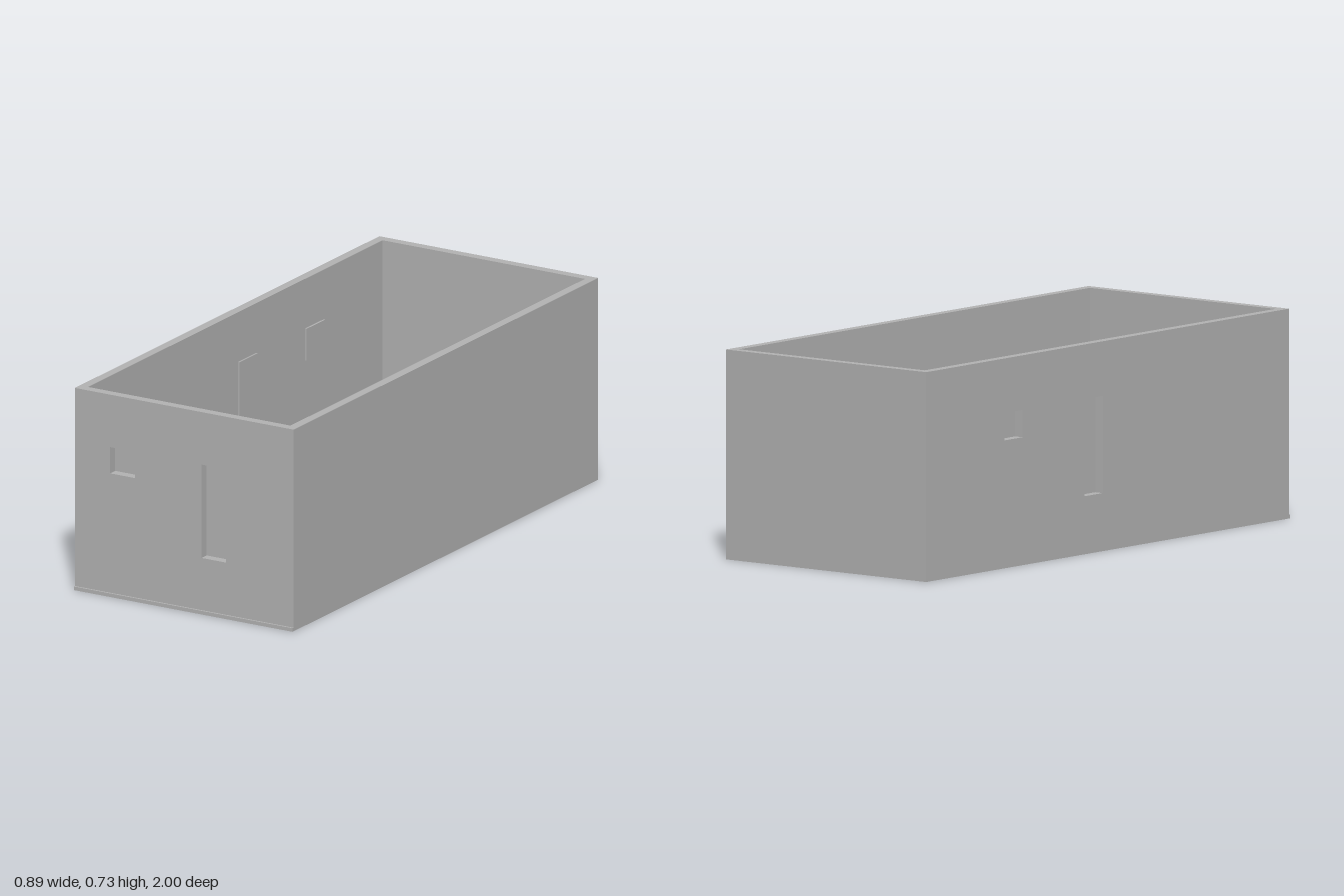
import * as THREE from 'three';

const H = 0.73;        // wall height
const T = 0.033;       // wall thickness
const X = 0.443;       // outer half width
const BACK = -1;
const FRONT = 0.993;   // outer face of the front wall
const PANEL = 0.006;   // thickness of the closing panels
const MARGIN = 0.01;   // panel overlap around each opening

const wall = new THREE.MeshStandardMaterial({ color: 0xb2b2b2 });
wall.name = 'plaster grey';

function box(name, x0, x1, y0, y1, z0, z1) {
  const mesh = new THREE.Mesh(new THREE.BoxGeometry(x1 - x0, y1 - y0, z1 - z0), wall);
  mesh.position.set((x0 + x1) / 2, (y0 + y1) / 2, (z0 + z1) / 2);
  mesh.name = name;
  return mesh;
}

// Rectangle as a shape or as a hole
function rect(Type, u0, u1, y0, y1) {
  const p = new Type();
  p.moveTo(u0, y0);
  p.lineTo(u1, y0);
  p.lineTo(u1, y1);
  p.lineTo(u0, y1);
  p.closePath();
  return p;
}

// Wall in the local xy plane, inner face at z = 0, outer face at z = T,
// with each opening closed by a thin panel on the inside
function piercedWall(name, u0, u1, openings) {
  const group = new THREE.Group();
  group.name = name;
  const shape = rect(THREE.Shape, u0, u1, 0, H);
  for (const o of openings) {
    shape.holes.push(rect(THREE.Path, o.u - 0.05, o.u + 0.05, o.y0, o.y1));
    group.add(box(o.name + 'Panel', o.u - 0.05 - MARGIN, o.u + 0.05 + MARGIN,
      o.y0 - MARGIN, o.y1 + MARGIN, -PANEL, 0));
  }
  const mesh = new THREE.Mesh(
    new THREE.ExtrudeGeometry(shape, { depth: T, bevelEnabled: false }), wall);
  mesh.name = name + 'Slab';
  group.add(mesh);
  return group;
}

const door = (u) => ({ name: 'door', u, y0: 0.202, y1: 0.54 });
const windowAt = (u) => ({ name: 'window', u, y0: 0.445, y1: 0.54 });

export function createModel() {
  const model = new THREE.Group();
  model.name = 'roomShell';

  // Front wall with a window and a door
  const front = piercedWall('frontWall', -X, X, [windowAt(-0.25), door(0.12)]);
  front.position.z = FRONT - T;
  model.add(front);

  // Right wall with a door and a window, outer face towards -x
  const right = piercedWall('rightWall', BACK + T, FRONT - T, [door(-0.08), windowAt(-0.52)]);
  right.rotation.y = -Math.PI / 2;
  right.position.x = -X + T;
  model.add(right);

  // Plain walls
  model.add(box('leftWall', X - T, X, 0, H, BACK + T, FRONT - T));
  model.add(box('backWall', -X, X, 0, H, BACK, BACK + T));

  // Low sill along the foot of the front wall
  model.add(box('frontSill', -X, X, 0, 0.013, FRONT, 1));

  return model;
}
